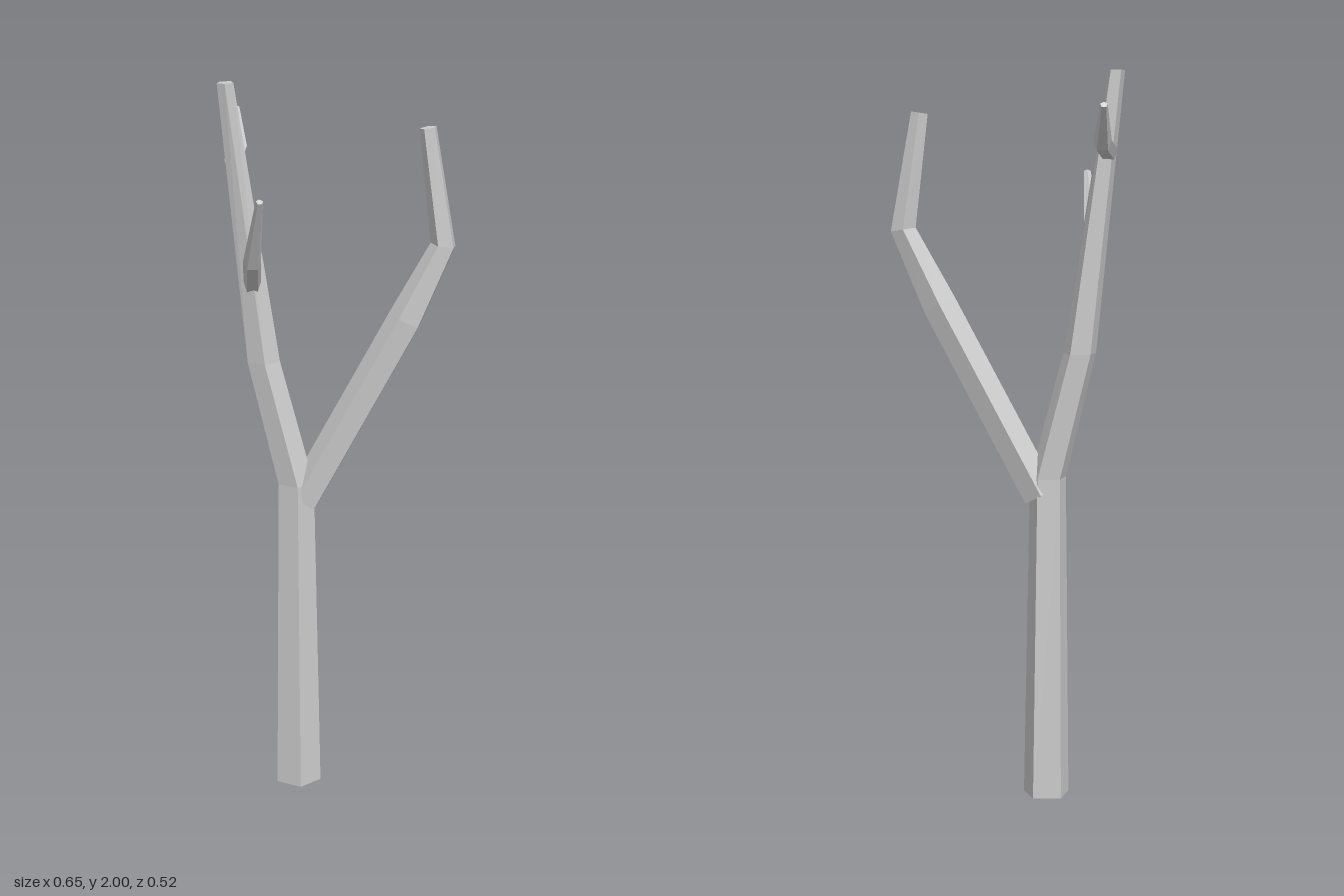
import * as THREE from 'three';

const SIDES = 5;
const material = new THREE.MeshStandardMaterial({ color: 0xcccccc, flatShading: true });

// Faceted, capped limb through stations [x, y, z, radius, squash].
// ridge: the direction one corner of the pentagon points to.
// axis: fixed ring normal; without it rings follow the bend of the path.
function limb(name, stations, ridge, axis) {
  const centres = stations.map(s => new THREE.Vector3(s[0], s[1], s[2]));
  const last = centres.length - 1;
  const rings = stations.map(([, , , r, squash = 1], i) => {
    const c = centres[i];
    const t = new THREE.Vector3();
    if (axis) t.copy(axis);
    else {
      if (i > 0) t.add(c.clone().sub(centres[i - 1]).normalize());
      if (i < last) t.add(centres[i + 1].clone().sub(c).normalize());
    }
    t.normalize();
    const u = ridge.clone().addScaledVector(t, -ridge.dot(t)).normalize();
    const v = t.clone().cross(u);
    return Array.from({ length: SIDES }, (_, k) => {
      const a = (k / SIDES) * Math.PI * 2;
      return c.clone().addScaledVector(u, Math.cos(a) * r * squash).addScaledVector(v, Math.sin(a) * r);
    });
  });

  const points = [];
  // side faces
  for (let i = 0; i < last; i++) {
    for (let k = 0; k < SIDES; k++) {
      const n = (k + 1) % SIDES;
      const a = rings[i][k], b = rings[i][n], c = rings[i + 1][n], d = rings[i + 1][k];
      points.push(a, b, c, a, c, d);
    }
  }
  // end caps
  for (let k = 1; k < SIDES - 1; k++) {
    points.push(rings[0][0], rings[0][k + 1], rings[0][k]);
    points.push(rings[last][0], rings[last][k], rings[last][k + 1]);
  }
  const geometry = new THREE.BufferGeometry().setFromPoints(points);
  geometry.computeVertexNormals();
  const mesh = new THREE.Mesh(geometry, material);
  mesh.name = name;
  return mesh;
}

export function createModel() {
  const up = new THREE.Vector3(0, 1, 0);
  const group = new THREE.Group();
  group.name = 'bareTree';

  // trunk, leaning away above the fork
  group.add(limb('trunk', [
    [-0.101, 0, -0.009, 0.066],
    [-0.105, 0.9, -0.013, 0.052],
    [-0.194, 1.245, -0.014, 0.049, 0.95],
    [-0.291, 2, -0.015, 0.035, 0.64],
  ], new THREE.Vector3(1, 0, 0), up));

  // large side branch
  group.add(limb('mainBranch', [
    [-0.085, 0.85, -0.018, 0.05],
    [0.195, 1.37, -0.05, 0.049],
    [0.293, 1.575, -0.067, 0.036],
    [0.249, 1.89, -0.053, 0.024],
  ], new THREE.Vector3(-0.86, 0.51, 0)));

  // small twigs
  group.add(limb('frontTwig', [
    [-0.22, 1.455, 0.0, 0.025],
    [-0.187, 1.547, 0.138, 0.025],
    [-0.14, 1.73, 0.248, 0.01],
  ], up));
  group.add(limb('backTwig', [
    [-0.276, 1.785, -0.03, 0.025],
    [-0.288, 1.808, -0.142, 0.025],
    [-0.32, 1.905, -0.252, 0.01],
  ], up));

  return group;
}
